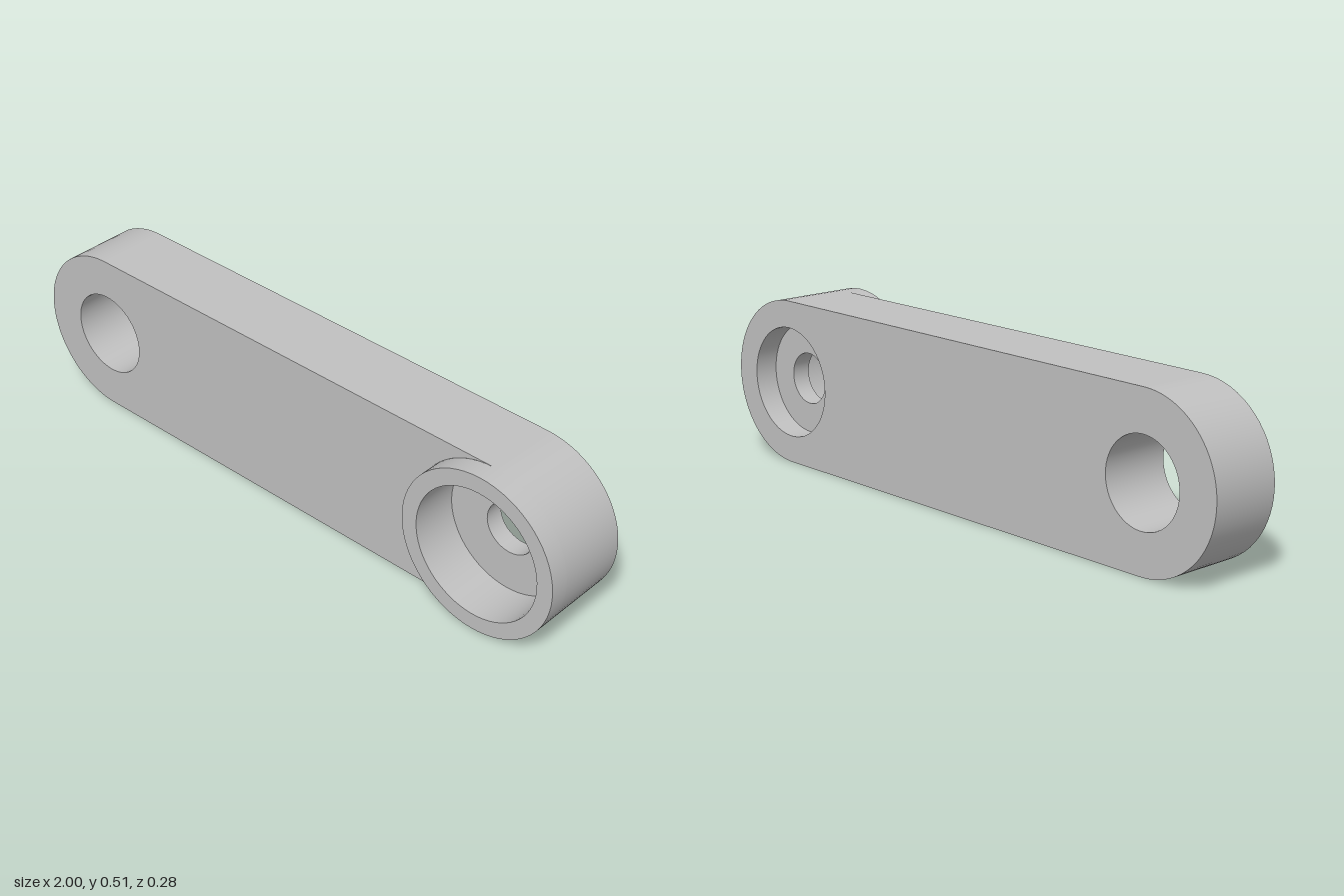
import * as THREE from 'three';
import { mergeGeometries } from 'three/addons/utils/BufferGeometryUtils.js';

const R = 0.256;                       // end radius, half the bar height
const CX = 0.744;                      // distance of each bore from the middle
const BACK = -0.142, FACE = 0.082, FRONT = 0.142;
const PIN_R = 0.131, BORE_R = 0.172;   // plain hole, rear counterbore
const SEG = 64;

// Turned surface along z; each profile segment keeps its own normals for sharp edges
function turned(profile, x) {
  const parts = [];
  for (let i = 0; i < profile.length - 1; i++) {
    const pts = [profile[i], profile[i + 1]].map(([r, z]) => new THREE.Vector2(r, z));
    parts.push(new THREE.LatheGeometry(pts, SEG));
  }
  return mergeGeometries(parts).rotateX(Math.PI / 2).translate(x, R, 0);
}

// Bar outline; the right end is either rounded or hollowed around the raised boss
function outline(hollow) {
  const s = new THREE.Shape();
  s.moveTo(CX, 0);
  s.absarc(CX, R, R, -Math.PI / 2, Math.PI / 2, hollow);
  s.absarc(-CX, R, R, Math.PI / 2, Math.PI * 1.5, false);
  s.closePath();
  return s;
}

function addHole(shape, x, r) {
  shape.holes.push(new THREE.Path().absarc(x, R, r, 0, Math.PI * 2, true));
}

// Smooth wall that follows the rounded outline
function sideWall() {
  const pos = [], idx = [], n = SEG + 2;
  for (let i = 0; i < n; i++) {
    const right = i <= SEG / 2;
    const a = -Math.PI / 2 + (right ? i : i - 1) * Math.PI * 2 / SEG;
    const x = (right ? CX : -CX) + R * Math.cos(a), y = R + R * Math.sin(a);
    pos.push(x, y, BACK, x, y, FACE);
    const b = 2 * i, c = 2 * ((i + 1) % n);
    idx.push(b, c, c + 1, b, c + 1, b + 1);
  }
  const g = new THREE.BufferGeometry();
  g.setAttribute('position', new THREE.Float32BufferAttribute(pos, 3));
  g.setIndex(idx);
  g.computeVertexNormals();
  return g;
}

export function createModel() {
  const group = new THREE.Group();
  group.name = 'linkArm';
  const grey = new THREE.MeshStandardMaterial({ color: 0xc0c0c0 });
  grey.name = 'grey';
  const add = (name, geometry) => {
    const mesh = new THREE.Mesh(geometry, grey);
    mesh.name = name;
    group.add(mesh);
  };

  // Bar faces
  const front = outline(true);
  addHole(front, -CX, PIN_R);
  add('barFrontFace', new THREE.ShapeGeometry(front, SEG / 2).translate(0, 0, FACE));

  const back = outline(false);
  addHole(back, -CX, PIN_R);
  addHole(back, CX, BORE_R);
  const backFace = new THREE.ShapeGeometry(back, SEG / 2).translate(0, 0, BACK);
  backFace.index.array.reverse();
  backFace.computeVertexNormals();
  add('barBackFace', backFace);

  add('barSideWall', sideWall());

  // Plain through hole
  add('pinHole', turned([[PIN_R, FACE], [PIN_R, BACK]], -CX));

  // Raised boss with a counterbore on both sides of a thin drilled web
  add('bossAndBore', turned([
    [R, FACE], [R, FRONT], [0.205, FRONT], [0.205, -0.008],
    [0.08, -0.008], [0.08, -0.067], [BORE_R, -0.067], [BORE_R, BACK],
  ], CX));

  return group;
}
